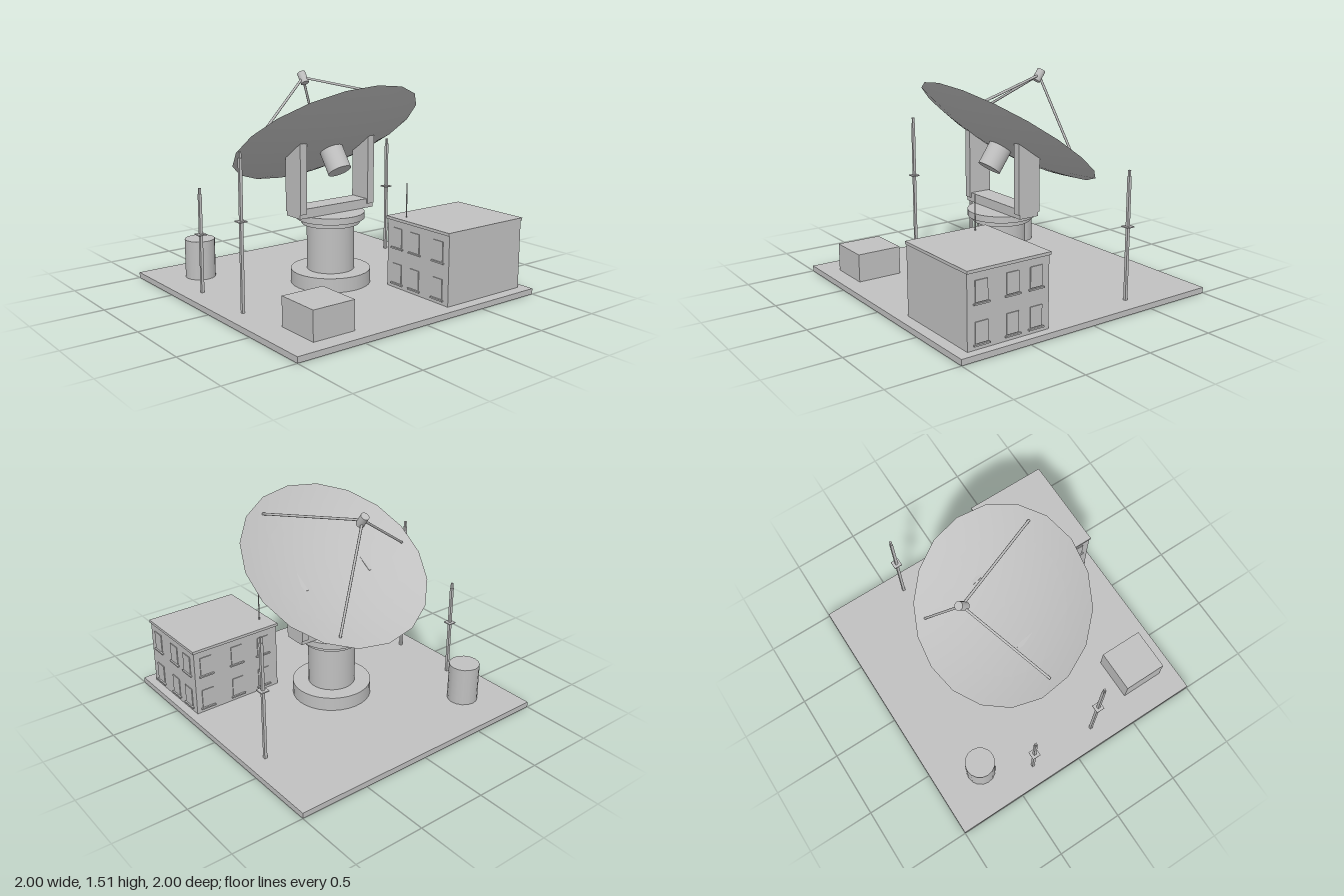
import * as THREE from 'three';

const grey = new THREE.MeshStandardMaterial({ color: 0xc0c0c0 });
grey.name = 'light grey';

function add(parent, name, geometry, x = 0, y = 0, z = 0) {
  const mesh = new THREE.Mesh(geometry, grey);
  mesh.name = name;
  mesh.position.set(x, y, z);
  parent.add(mesh);
  return mesh;
}

// Box given by its minimum and maximum along each axis
function block(parent, name, x0, x1, y0, y1, z0, z1) {
  return add(parent, name, new THREE.BoxGeometry(x1 - x0, y1 - y0, z1 - z0),
    (x0 + x1) / 2, (y0 + y1) / 2, (z0 + z1) / 2);
}

// Upright cylinder between two heights
function drum(parent, name, r, y0, y1, sides = 32, x = 0, z = 0) {
  return add(parent, name, new THREE.CylinderGeometry(r, r, y1 - y0, sides), x, (y0 + y1) / 2, z);
}

// Thin rod between two points
function rod(parent, name, a, b, r) {
  const dir = b.clone().sub(a);
  const mesh = add(parent, name, new THREE.CylinderGeometry(r, r, dir.length(), 8));
  mesh.position.copy(a).add(b).multiplyScalar(0.5);
  mesh.quaternion.setFromUnitVectors(new THREE.Vector3(0, 1, 0), dir.normalize());
}

function makeGroup(parent, name) {
  const group = new THREE.Group();
  group.name = name;
  parent.add(group);
  return group;
}

// Parabolic profile from radius a to radius b, zero height at the rim
const RIM = 0.682;
function bowlProfile(depth, a, b, steps) {
  return Array.from({ length: steps + 1 }, (_, i) => {
    const r = a + (b - a) * i / steps;
    return new THREE.Vector2(r, -depth * (1 - (r / RIM) ** 2));
  });
}

function addDish(model) {
  const dish = makeGroup(model, 'dish');
  dish.position.set(0, 1.08, -0.056);
  dish.rotation.x = THREE.MathUtils.degToRad(-35);

  add(dish, 'dishUnderside', new THREE.LatheGeometry(bowlProfile(0.117, 0, RIM, 10), 18));
  add(dish, 'dishOuterRing', new THREE.LatheGeometry(bowlProfile(0.107, RIM, 0.48, 4), 18));
  add(dish, 'dishInnerBowl', new THREE.LatheGeometry(bowlProfile(0.107, 0.48, 0, 8), 18));

  drum(dish, 'receiverHousing', 0.083, -0.28, -0.11, 24);
  drum(dish, 'feedHorn', 0.03, 0.42, 0.505, 16);

  // Three struts carrying the feed
  for (const degrees of [60, 180, 300]) {
    const a = THREE.MathUtils.degToRad(degrees);
    rod(dish, 'feedStrut',
      new THREE.Vector3(0.6 * Math.cos(a), -0.015, 0.6 * Math.sin(a)),
      new THREE.Vector3(0.02 * Math.cos(a), 0.45, 0.02 * Math.sin(a)), 0.009);
  }
}

function addPedestal(model) {
  const pedestal = makeGroup(model, 'pedestal');
  drum(pedestal, 'footing', 0.282, 0.04, 0.14);
  drum(pedestal, 'column', 0.168, 0.14, 0.47);
  drum(pedestal, 'columnCollar', 0.205, 0.47, 0.505);
  drum(pedestal, 'turntable', 0.24, 0.505, 0.55);
  block(pedestal, 'yokeBeam', -0.318, 0.318, 0.55, 0.615, -0.077, 0.077);

  // Yoke arms, tops cut to the slope of the dish
  const side = new THREE.Shape([
    new THREE.Vector2(-0.087, 0.58), new THREE.Vector2(0.087, 0.58),
    new THREE.Vector2(0.087, 0.955), new THREE.Vector2(-0.087, 1.068),
  ]);
  const arm = new THREE.ExtrudeGeometry(side, { depth: 0.055, bevelEnabled: false });
  arm.rotateY(Math.PI / 2); // shape x becomes -z, depth becomes +x
  for (const x of [-0.32, 0.265]) add(pedestal, 'yokeArm', arm, x);
}

function addBuilding(model) {
  const building = makeGroup(model, 'building');
  block(building, 'walls', 0.26, 0.94, 0.04, 0.52, 0.32, 0.92);
  block(building, 'roof', 0.25, 0.95, 0.52, 0.54, 0.31, 0.925);
  drum(building, 'roofAntenna', 0.004, 0.54, 0.78, 8, 0.32, 0.44);

  // Two rows of three windows on both ends and the back
  for (const y of [0.07, 0.325]) {
    for (const z of [0.42, 0.595, 0.82]) {
      for (const s of [-1, 1]) {
        const x = 0.6 + s * 0.343;
        block(building, 'window', x - 0.003, x + 0.003, y + 0.01, y + 0.145, z - 0.045, z + 0.045);
        block(building, 'windowSill', x - 0.01, x + 0.01, y - 0.005, y + 0.005, z - 0.057, z + 0.057);
      }
    }
    for (const x of [0.38, 0.6, 0.85]) {
      block(building, 'window', x - 0.045, x + 0.045, y + 0.01, y + 0.145, 0.314, 0.32);
      block(building, 'windowSill', x - 0.057, x + 0.057, y - 0.005, y + 0.005, 0.307, 0.327);
    }
  }
}

function addMast(model, x, z, top, plateY) {
  const mast = makeGroup(model, 'mast');
  block(mast, 'mastPole', x - 0.01, x + 0.01, 0.04, top - 0.04, z - 0.01, z + 0.01);
  block(mast, 'mastTip', x - 0.007, x + 0.007, top - 0.04, top, z - 0.007, z + 0.007);
  block(mast, 'mastPlate', x - 0.03, x + 0.03, plateY - 0.004, plateY + 0.004, z - 0.03, z + 0.03);
}

export function createModel() {
  const model = new THREE.Group();
  model.name = 'radioDishStation';

  block(model, 'ground', -1, 1, 0, 0.04, -1, 1);
  addPedestal(model);
  addDish(model);
  addBuilding(model);
  block(model, 'cabinet', -0.8, -0.485, 0.04, 0.24, 0.555, 0.88);
  drum(model, 'tank', 0.108, 0.04, 0.32, 16, -0.68, -0.66);
  addMast(model, -0.86, 0.2, 1.09, 0.645);
  addMast(model, -0.86, -0.32, 0.77, 0.45);
  addMast(model, 0.86, -0.4, 0.93, 0.55);
  return model;
}
